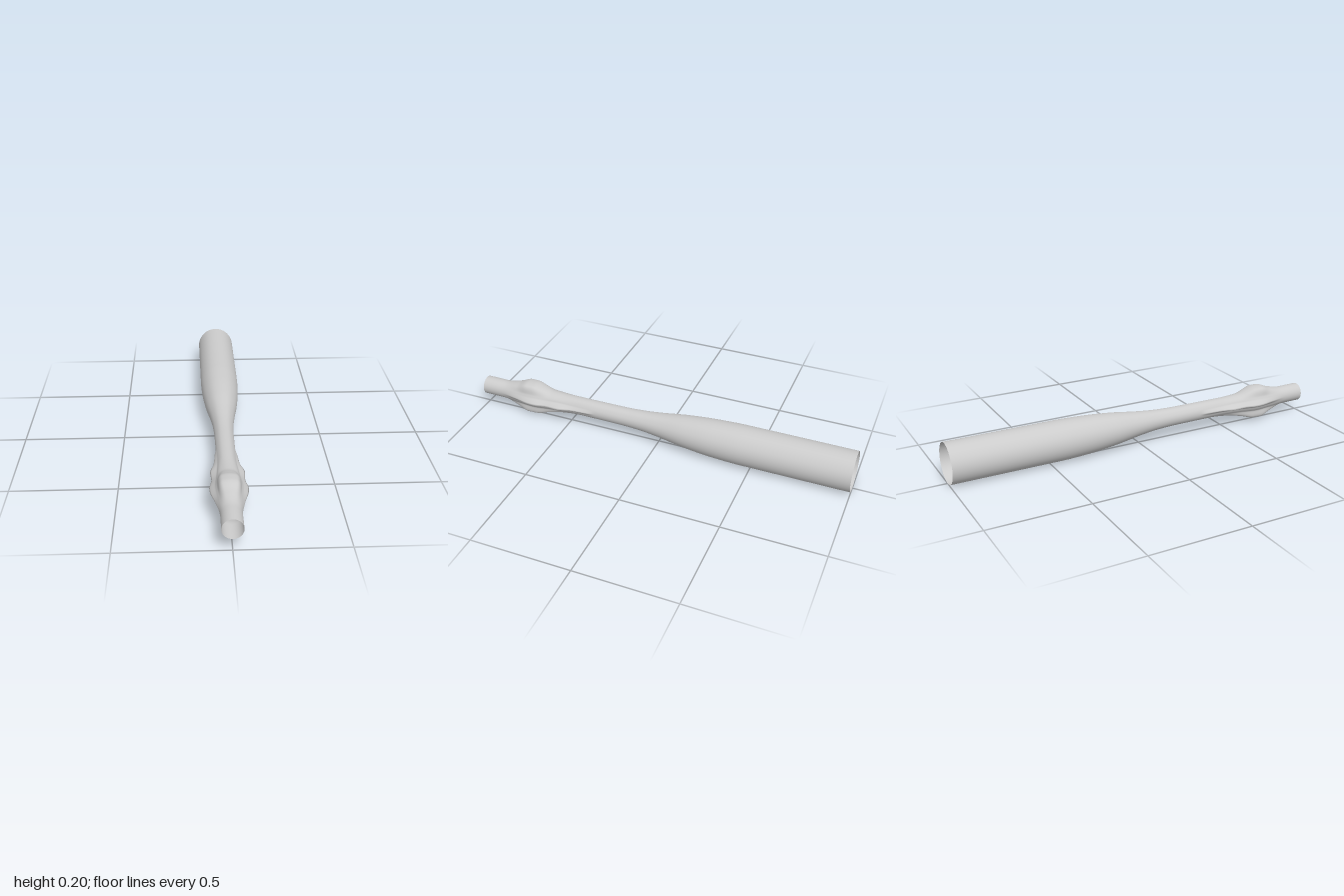
import * as THREE from 'three';

// Smooth curve through [z, value] stations (cubic Hermite, clamped at the ends).
function along(stations) {
  const n = stations.length;
  const slope = stations.map((s, i) => {
    if (i === 0 || i === n - 1) return 0;
    const a = (s[1] - stations[i - 1][1]) / (s[0] - stations[i - 1][0]);
    const b = (stations[i + 1][1] - s[1]) / (stations[i + 1][0] - s[0]);
    return a * b <= 0 ? 0 : (2 * a * b) / (a + b);
  });
  return (z) => {
    if (z <= stations[0][0]) return stations[0][1];
    if (z >= stations[n - 1][0]) return stations[n - 1][1];
    let i = 0;
    while (z > stations[i + 1][0]) i++;
    const h = stations[i + 1][0] - stations[i][0];
    const t = (z - stations[i][0]) / h, t2 = t * t, t3 = t2 * t;
    return (2 * t3 - 3 * t2 + 1) * stations[i][1] + (t3 - 2 * t2 + t) * h * slope[i]
      + (3 * t2 - 2 * t3) * stations[i + 1][1] + (t3 - t2) * h * slope[i + 1];
  };
}

// Plain tube: radius and height of the axis
const radius = along([[-1, 0.1], [-0.45, 0.1], [-0.3, 0.095], [-0.15, 0.082], [0, 0.061],
  [0.1, 0.051], [0.2, 0.047], [0.4, 0.046], [1, 0.0475]]);
const axis = along([[-1, 0.1], [-0.4, 0.1], [0.1, 0.1035], [0.5, 0.1035], [0.75, 0.1], [1, 0.1025]]);

// Extra radius of the swollen part near the front
const topSwell = along([[0.5, 0.002], [0.6, 0.007], [0.66, 0.025], [0.7, 0.037], [0.74, 0.038],
  [0.8, 0.018], [0.89, 0]]);
const bottomSwell = along([[0.42, 0], [0.53, 0.008], [0.62, 0.025], [0.69, 0.042], [0.74, 0.043],
  [0.8, 0.023], [0.89, 0]]);
const sideSwell = along([[0.34, 0], [0.38, 0.006], [0.47, 0.014], [0.55, 0.033], [0.58, 0.031],
  [0.61, 0.029], [0.68, 0.04], [0.71, 0.038], [0.8, 0.016], [0.9, 0]]);
const valleySwell = along([[0.45, 0], [0.6, 0.008], [0.7, 0.017], [0.8, 0.009], [0.9, 0]]);

const { smoothstep } = THREE.MathUtils;

function swell(angle, z) {
  const s = Math.sin(angle);
  const fromSide = Math.asin(Math.min(1, Math.abs(s)));
  const fromPole = Math.PI / 2 - fromSide;
  const valley = valleySwell(z) * (s > 0 ? 1.15 : 0.75);
  // Flat-faced lobe above or below
  const lobe = (s > 0 ? topSwell(z) : bottomSwell(z)) * (1 + 0.22 * Math.min(fromPole, 0.42) ** 2);
  const lobeShare = 1 - smoothstep(fromPole, 0.4, s > 0 ? 1.0 : 0.8);
  // Sharp ridge along each side
  const ridgeShare = Math.max(0, 1 - fromSide / (s > 0 ? 0.42 : 0.3)) ** 1.4;
  return valley + (lobe - valley) * lobeShare + (sideSwell(z) - valley) * ridgeShare;
}

function tubeGeometry(rings, sides) {
  const position = [], index = [];
  for (let i = 0; i <= rings; i++) {
    const z = -1 + (2 * i) / rings;
    for (let j = 0; j < sides; j++) {
      const a = (j / sides) * Math.PI * 2;
      const r = radius(z) + swell(a, z);
      position.push(r * Math.cos(a), axis(z) + r * Math.sin(a), z);
    }
  }
  for (let i = 0; i < rings; i++) {
    for (let j = 0; j < sides; j++) {
      const k = (j + 1) % sides;
      const a = i * sides + j, b = i * sides + k;
      index.push(a, b, a + sides, b, b + sides, a + sides);
    }
  }
  const geometry = new THREE.BufferGeometry();
  geometry.setAttribute('position', new THREE.Float32BufferAttribute(position, 3));
  geometry.setIndex(index);
  geometry.computeVertexNormals();
  return geometry;
}

export function createModel() {
  const group = new THREE.Group();
  group.name = 'hollowHandle';
  // Open tube, thin walled
  const material = new THREE.MeshStandardMaterial({ color: 0xcccccc, side: THREE.DoubleSide });
  const tube = new THREE.Mesh(tubeGeometry(200, 96), material);
  tube.name = 'tubeShell';
  group.add(tube);
  return group;
}
